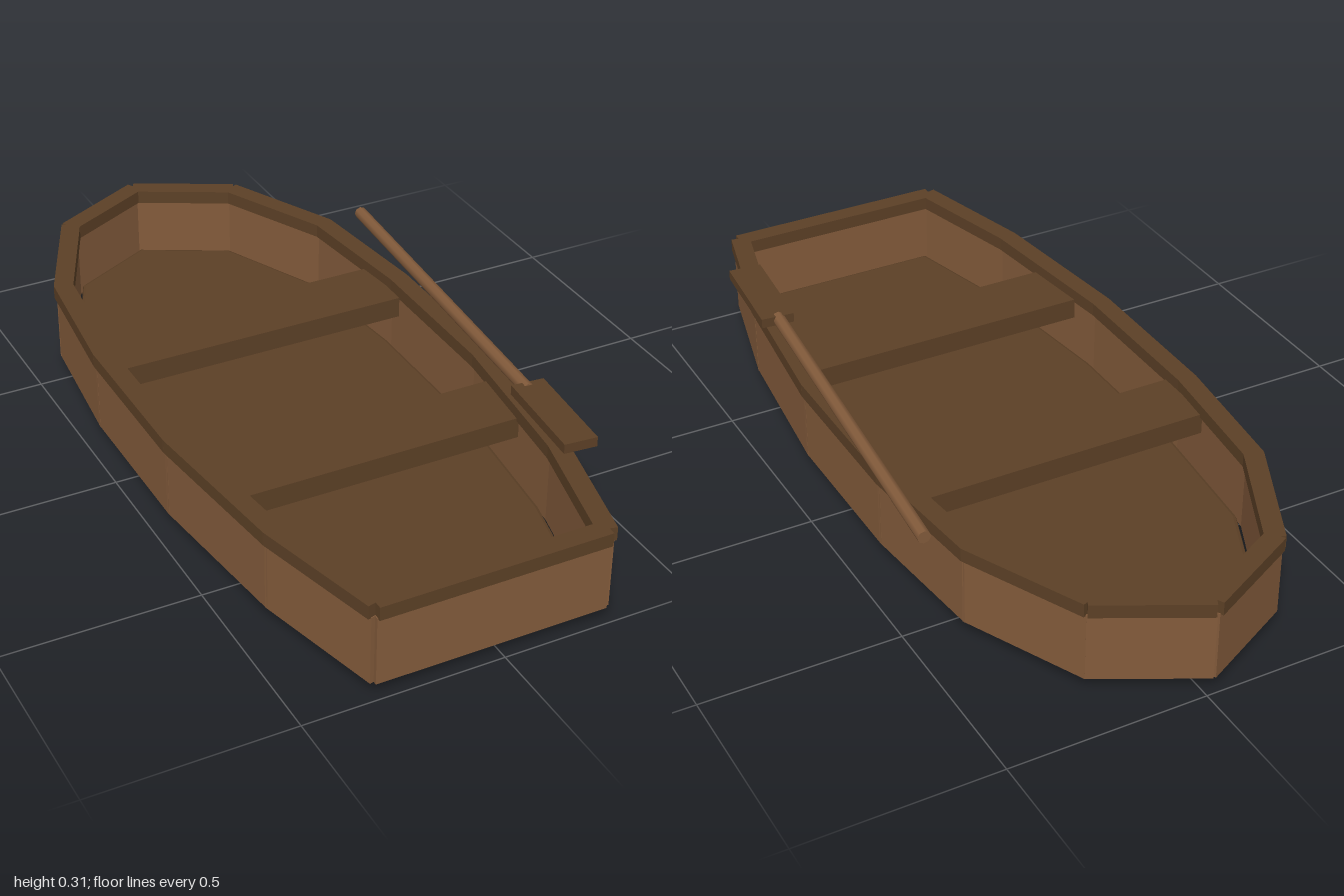
import * as THREE from 'three';

const plank = new THREE.MeshStandardMaterial({ color: 0x835b3b });
plank.name = 'light wood';
const dark = new THREE.MeshStandardMaterial({ color: 0x5c4026 });
dark.name = 'dark wood';

// Left half of each outline, bow to stern, as [half width, z]
const hullHalf = [[0, -0.972], [0.24, -0.846], [0.378, -0.552], [0.415, -0.2], [0.415, 0.22], [0.367, 0.645], [0.286, 0.971]];
const floorHalf = [[0, -0.945], [0.222, -0.828], [0.352, -0.538], [0.385, -0.2], [0.385, 0.22], [0.34, 0.625], [0.262, 0.945]];

// Mirror a half outline into a closed loop
const mirror = (half) => [...half, ...half.slice(1).reverse().map(([x, z]) => [-x, z])];

function addBox(parent, name, material, size, position, turn = 0) {
  const mesh = new THREE.Mesh(new THREE.BoxGeometry(...size), material);
  mesh.name = name;
  mesh.position.set(...position);
  mesh.rotation.y = turn;
  parent.add(mesh);
  return mesh;
}

// A ring of straight boards following the hull outline
function boardRing(name, material, thickness, bottom, top, extra) {
  const ring = new THREE.Group();
  ring.name = name;
  const loop = mirror(hullHalf);
  loop.forEach(([ax, az], i) => {
    const [bx, bz] = loop[(i + 1) % loop.length];
    const dx = bx - ax, dz = bz - az;
    addBox(ring, name + 'Board', material,
      [thickness, top - bottom, Math.hypot(dx, dz) + extra],
      [(ax + bx) / 2, (bottom + top) / 2, (az + bz) / 2], Math.atan2(dx, dz));
  });
  return ring;
}

export function createModel() {
  const model = new THREE.Group();
  model.name = 'rowingBoat';

  const hull = new THREE.Group();
  hull.name = 'hull';
  hull.position.x = -0.024;
  model.add(hull);

  // Floor with bevelled edges
  const shape = new THREE.Shape(mirror(floorHalf).map(([x, z]) => new THREE.Vector2(x, -z)));
  const bevel = 0.01;
  const floorGeometry = new THREE.ExtrudeGeometry(shape, {
    depth: 0.045, bevelEnabled: true, bevelThickness: bevel, bevelSize: bevel, bevelOffset: -bevel, bevelSegments: 2,
  });
  floorGeometry.rotateX(-Math.PI / 2);
  floorGeometry.translate(0, bevel, 0);
  const floor = new THREE.Mesh(floorGeometry, dark);
  floor.name = 'floor';
  hull.add(floor);

  // Side boards and the rim on top of them
  hull.add(boardRing('wall', plank, 0.036, 0.034, 0.212, 0.012));
  hull.add(boardRing('rim', dark, 0.05, 0.21, 0.245, 0.008));

  // Two bench seats
  addBox(hull, 'rearSeat', dark, [0.765, 0.055, 0.175], [0, 0.19, 0.388]);
  addBox(hull, 'frontSeat', dark, [0.775, 0.055, 0.175], [0, 0.19, -0.233]);

  // Oar resting over the left rim
  const oar = new THREE.Group();
  oar.name = 'oar';
  model.add(oar);
  const grip = new THREE.Vector3(0.446, 0.271, -0.515);
  const neck = new THREE.Vector3(0.365, 0.289, 0.475);
  const along = neck.clone().sub(grip);
  const shaft = new THREE.Mesh(new THREE.CylinderGeometry(0.0165, 0.0165, along.length(), 8), plank);
  shaft.name = 'oarShaft';
  shaft.position.copy(grip).add(neck).multiplyScalar(0.5);
  shaft.quaternion.setFromUnitVectors(new THREE.Vector3(0, 1, 0), along.normalize());
  oar.add(shaft);
  addBox(oar, 'oarBlade', dark, [0.085, 0.025, 0.27], [0.36, 0.289, 0.594], -0.085);

  return model;
}
